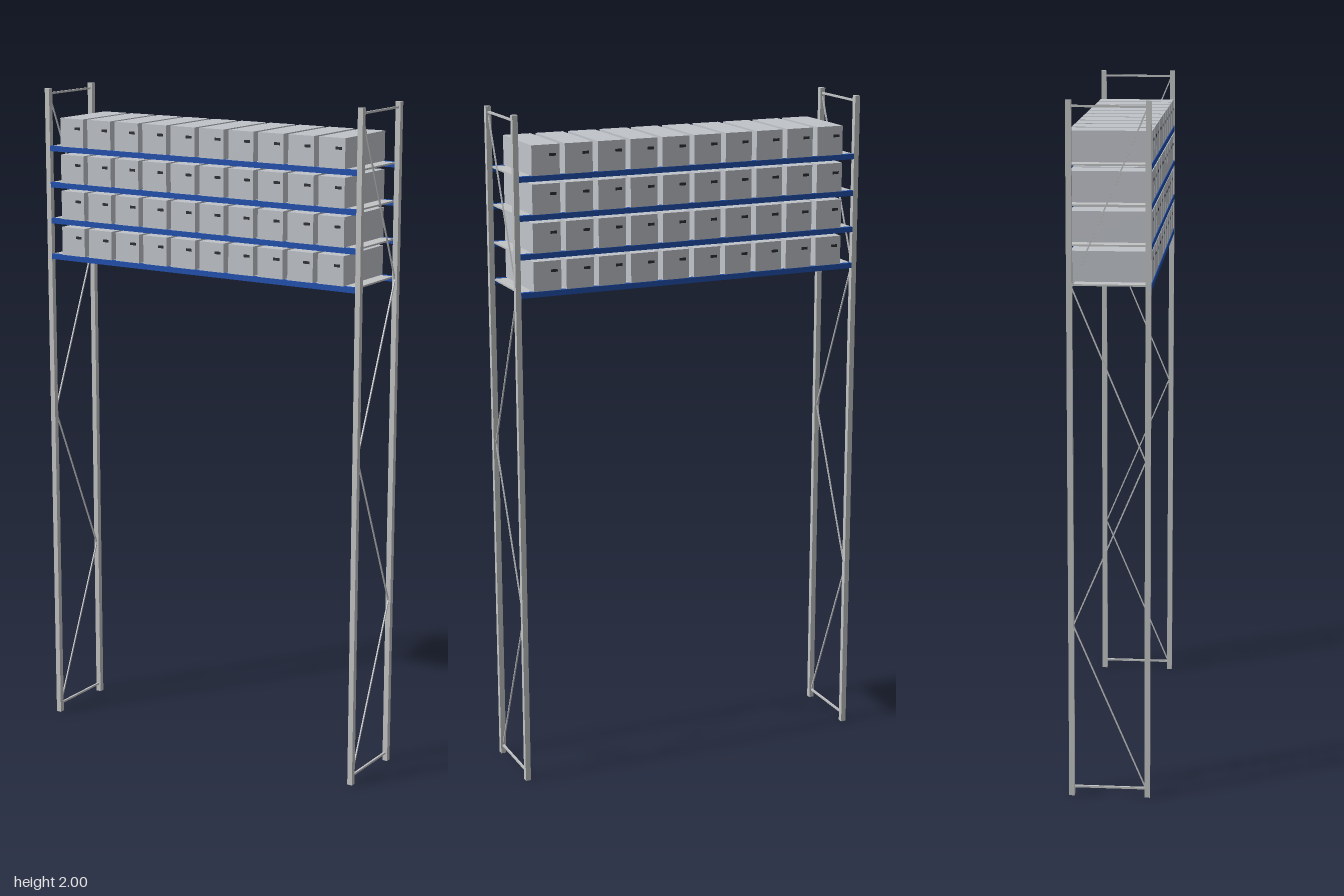
import * as THREE from 'three';

const mat = (name, color) => Object.assign(new THREE.MeshStandardMaterial({ color }), { name });

export function createModel() {
  const steel = mat('galvanised steel', 0xc2c3c4);
  const blue = mat('blue beam', 0x1f4fae);
  const carton = mat('grey carton', 0xc0c4ca);
  const dark = mat('dark handle', 0x2c2f34);
  const model = new THREE.Group();
  model.name = 'shelvingRack';

  const box = (parent, name, material, w, h, d, x, y, z) => {
    const mesh = new THREE.Mesh(new THREE.BoxGeometry(w, h, d), material);
    mesh.name = name;
    mesh.position.set(x, y, z);
    parent.add(mesh);
    return mesh;
  };

  // End frames: two posts, two rungs and zigzag bracing
  const zigzag = [[0.03, 0.103], [0.515, -0.103], [1.0, 0.103], [1.49, -0.103], [1.975, 0.103]];
  for (const side of [-1, 1]) {
    const frame = new THREE.Group();
    frame.name = side > 0 ? 'leftEndFrame' : 'rightEndFrame';
    frame.position.x = side * 0.539;
    model.add(frame);
    for (const z of [-0.109, 0.109]) box(frame, 'post', steel, 0.016, 2, 0.016, 0, 1, z);
    for (const y of [0.026, 1.984]) box(frame, 'rung', steel, 0.006, 0.006, 0.204, 0, y, 0);
    for (let i = 0; i < zigzag.length - 1; i++) {
      const [y0, z0] = zigzag[i];
      const [y1, z1] = zigzag[i + 1];
      const brace = box(frame, 'brace', steel, 0.004, Math.hypot(y1 - y0, z1 - z0), 0.004,
        0, (y0 + y1) / 2, (z0 + z1) / 2);
      brace.rotation.x = Math.atan2(z1 - z0, y1 - y0);
    }
  }

  // Carton with a handle slot at each end
  const makeCarton = () => {
    const group = new THREE.Group();
    group.name = 'carton';
    box(group, 'cartonBody', carton, 0.084, 0.086, 0.23, 0, 0.043, 0);
    for (const s of [-1, 1]) box(group, 'handle', dark, 0.02, 0.008, 0.001, s * 0.021, 0.057, s * 0.1153);
    return group;
  };

  // Four levels of beams, deck and cartons
  for (let level = 0; level < 4; level++) {
    const shelf = new THREE.Group();
    shelf.name = 'shelf';
    shelf.position.y = 1.498 + level * 0.11;
    model.add(shelf);
    for (const z of [-0.111, 0.111]) box(shelf, 'beam', blue, 1.062, 0.016, 0.012, 0, -0.008, z);
    box(shelf, 'deck', steel, 1.062, 0.005, 0.21, 0, -0.0028, 0);
    for (let i = 0; i < 10; i++) {
      const item = makeCarton();
      item.position.x = -0.45 + i * 0.1;
      shelf.add(item);
    }
  }
  return model;
}
